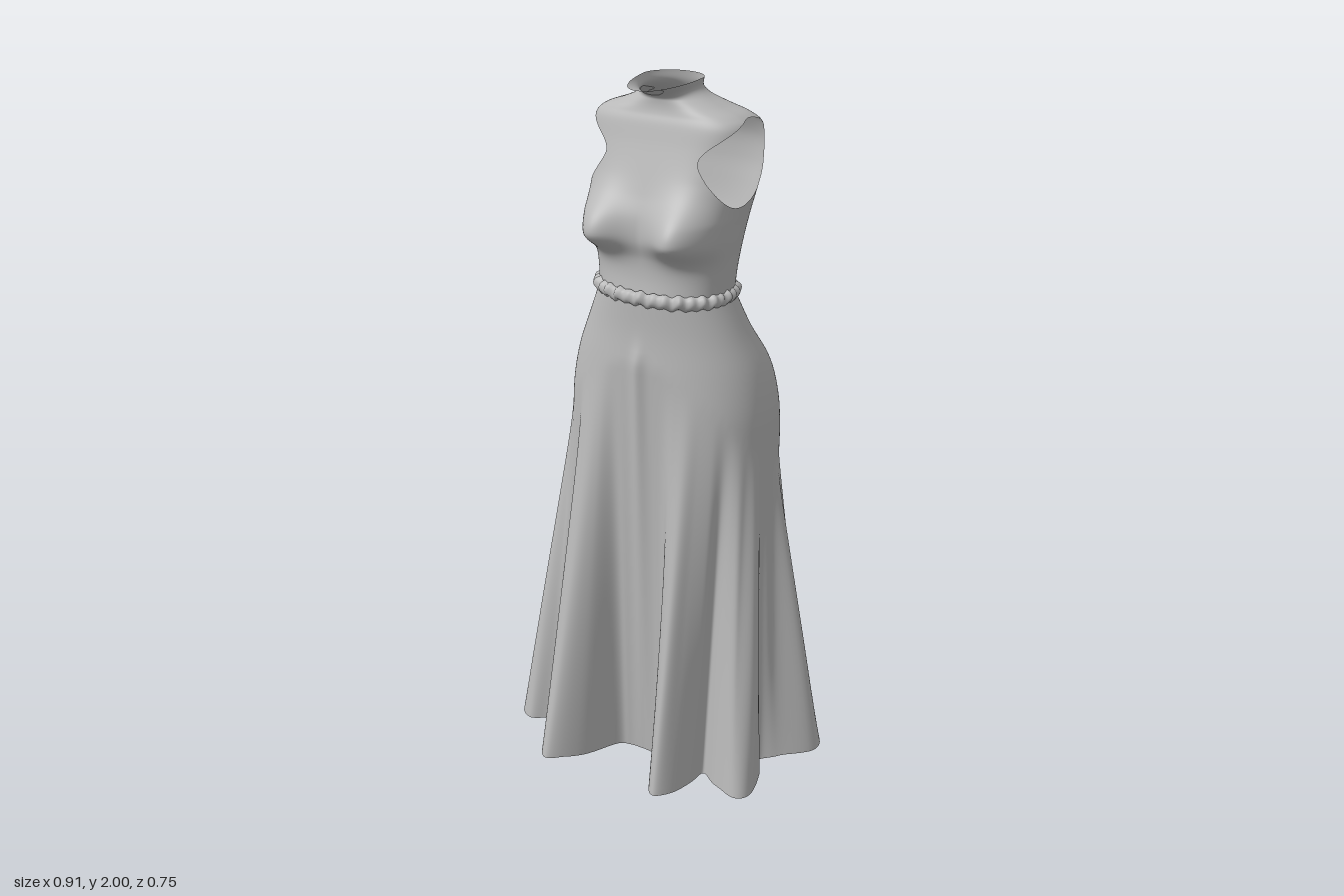
import * as THREE from 'three';
import { mergeVertices } from 'three/addons/utils/BufferGeometryUtils.js';

const fabric = new THREE.MeshStandardMaterial({ color: 0xb8b8b8, side: THREE.DoubleSide });
fabric.name = 'grey fabric';

const TAU = Math.PI * 2;
const gauss = (d, w) => Math.exp(-((d / w) ** 2));
const clamp01 = (v) => Math.min(1, Math.max(0, v));
const curve = (pts) => new THREE.CatmullRomCurve3(pts.map((p) => new THREE.Vector3(...p)), false, 'catmullrom', 0.5);

// Closed loft: fn(v, u) gives a point, v runs from top to bottom and u around the body
function loft(fn, rows, cols) {
  const pos = [], index = [];
  for (let i = 0; i <= rows; i++) {
    for (let j = 0; j < cols; j++) {
      pos.push(...fn(i / rows, j / cols));
      if (i === rows) continue;
      const k = (j + 1) % cols;
      const a = i * cols + j, b = i * cols + k, c = a + cols, d = b + cols;
      index.push(a, c, b, b, c, d);
    }
  }
  const g = new THREE.BufferGeometry();
  g.setAttribute('position', new THREE.Float32BufferAttribute(pos, 3));
  g.setIndex(index);
  g.computeVertexNormals();
  return g;
}

// Rounded-square section; angle 0 is the front, a quarter turn is the left side
function section(angle, halfWidth, front, back, n) {
  const s = Math.sin(angle), c = Math.cos(angle);
  const r = (Math.abs(s) ** n + Math.abs(c) ** n) ** (-1 / n);
  return [halfWidth * s * r, (front + back) / 2 + ((front - back) / 2) * c * r];
}

// Cuts away everything where f(point) < 0
function cut(geometry, f) {
  const src = geometry.toNonIndexed().getAttribute('position');
  const out = [];
  for (let i = 0; i < src.count; i += 3) {
    const tri = [0, 1, 2].map((k) => new THREE.Vector3().fromBufferAttribute(src, i + k));
    const poly = [];
    tri.forEach((p, k) => {
      const q = tri[(k + 1) % 3], fp = f(p), fq = f(q);
      if (fp >= 0) poly.push(p);
      if (fp >= 0 !== fq >= 0) {
        // interpolate in a fixed direction so that neighbours share the point
        poly.push(fp >= 0 ? p.clone().lerp(q, fp / (fp - fq)) : q.clone().lerp(p, fq / (fq - fp)));
      }
    });
    for (let k = 2; k < poly.length; k++) {
      for (const p of [poly[0], poly[k - 1], poly[k]]) out.push(p.x, p.y, p.z);
    }
  }
  let g = new THREE.BufferGeometry();
  g.setAttribute('position', new THREE.Float32BufferAttribute(out, 3));
  g = mergeVertices(g, 1e-5);
  g.computeVertexNormals();
  return g;
}

// Bodice sections from neck to waist: height, half width, front z, back z, squareness
const bodiceRows = [
  [2.0, 0.084, 0.07, -0.08, 2], [1.975, 0.08, 0.068, -0.085, 2], [1.955, 0.1, 0.066, -0.095, 2.2],
  [1.935, 0.145, 0.066, -0.108, 2.8], [1.915, 0.2, 0.07, -0.12, 3.4], [1.89, 0.228, 0.08, -0.135, 3.8],
  [1.84, 0.232, 0.095, -0.155, 3.8], [1.78, 0.23, 0.115, -0.157, 3.6], [1.72, 0.222, 0.135, -0.15, 3.2],
  [1.66, 0.213, 0.155, -0.14, 2.9], [1.6, 0.206, 0.16, -0.125, 2.7], [1.55, 0.2, 0.15, -0.115, 2.5],
  [1.5, 0.195, 0.15, -0.108, 2.4], [1.44, 0.19, 0.16, -0.112, 2.3],
];
const bodiceA = curve(bodiceRows.map((r) => [r[1], r[0], r[2]]));
const bodiceB = curve(bodiceRows.map((r) => [r[4], 0, r[3]]));

function bodicePoint(v, u) {
  const a = bodiceA.getPoint(v), b = bodiceB.getPoint(v), angle = u * TAU;
  let [x, z] = section(angle, a.x, a.z, b.z, b.x);
  let y = a.y;
  const front = Math.max(0, Math.cos(angle));
  // chest narrower than the shoulder blades
  x *= 1 - 0.9 * Math.max(0, z) * clamp01((y - 1.66) / 0.1) * clamp01((1.95 - y) / 0.05);
  // bust
  const bust = gauss(Math.abs(x) - 0.125, 0.072) * gauss(y - 1.615, y < 1.615 ? 0.05 : 0.09);
  z += 0.068 * bust * clamp01(front * 2.5);
  // collar turned forward
  const lip = clamp01((y - 1.95) / 0.05);
  z += 0.093 * lip ** 2 * front ** 1.1;
  y -= 0.012 * lip * front;
  return [x, y, z];
}

// Armhole outline in side elevation
function armhole(p) {
  if (Math.abs(p.x) < 0.12) return 1;
  const dy = p.y - 1.8, dz = p.z + 0.012 + 0.22 * dy;
  return (dz / 0.112) ** 2 + (dy / 0.11) ** 2 - 1;
}

// Waist to hip at even height steps: half width, front z, back z
const WAIST = 1.445;
const hipCurve = curve([
  [0.19, 0.163, -0.115], [0.235, 0.165, -0.145], [0.28, 0.175, -0.2],
  [0.303, 0.185, -0.222], [0.31, 0.19, -0.228], [0.312, 0.195, -0.222],
]);

function hipPoint(y, angle) {
  const p = hipCurve.getPoint(clamp01((WAIST - y) / 0.5));
  let [x, z] = section(angle, p.x, p.y, p.z, 2.25);
  const c = Math.cos(angle);
  if (c < 0) z += 0.02 * gauss(x, 0.045) * gauss(y - 1.12, 0.14); // seat crease
  else z += 0.014 * gauss(x, 0.02) * gauss(y - 1.25, 0.05); // front pucker
  return [x, z];
}

// Hem folds on the left half: angle in degrees, x, z
const hemLeft = [
  [0, 0, 0.15], [10, 0.05, 0.155], [17, 0.085, 0.18], [24, 0.115, 0.3], [31, 0.16, 0.355], [38, 0.2, 0.31],
  [44, 0.215, 0.23], [50, 0.22, 0.17], [57, 0.28, 0.21], [64, 0.36, 0.24], [70, 0.395, 0.2], [77, 0.37, 0.1],
  [84, 0.33, 0.04], [91, 0.37, 0], [99, 0.45, -0.08], [106, 0.44, -0.145], [113, 0.37, -0.175], [121, 0.28, -0.12],
  [129, 0.225, -0.13], [138, 0.215, -0.22], [149, 0.2, -0.34], [158, 0.15, -0.375], [168, 0.08, -0.34], [180, 0, -0.315],
];
// The right half has slightly wider front folds
const wider = [[0.13, 0.3], [0.2, 0.378], [0.245, 0.33], [0.235, 0.23], [0.25, 0.18], [0.32, 0.215], [0.37, 0.24], [0.415, 0.2]];
const hemRight = hemLeft.slice(0, -1).map(([a, x, z], i) => {
  const w = wider[i - 3];
  return [360 - a, w ? -w[0] : -x, w ? w[1] : z];
}).reverse();
const hemCurve = curve([...hemLeft, ...hemRight].map(([a, x, z]) => [x, (a * Math.PI) / 180, z]));

function skirtPoint(v, u) {
  const hem = hemCurve.getPoint(u), angle = hem.y;
  const hemY = Math.max(0, 0.036 * Math.min(1, (hem.x ** 2 + hem.z ** 2) / 0.15) - 0.006);
  const y = WAIST + (hemY - WAIST) * v;
  const front = Math.max(0, Math.cos(angle));
  const foldTop = 0.97 + 0.3 * front ** 1.5;
  let [x, z] = hipPoint(Math.max(y, foldTop), angle);
  if (y < foldTop) {
    const t = (foldTop - y) / (foldTop - hemY), w = t ** 1.08;
    // fine gathers between the big folds
    const gather = 1 + 0.022 * Math.sin(angle * 26) * 4 * t * (1 - t) * Math.abs(Math.sin(angle));
    x = (x + (hem.x - x) * w) * gather;
    z = (z + (hem.z - z) * w) * gather;
  }
  return [x, y, z];
}

// Gathered frill around the waist: outward offset and height
const frillRows = curve([[-0.006, 1.466, 0], [0.005, 1.46, 0], [0.01, 1.448, 0], [0.007, 1.436, 0], [-0.002, 1.428, 0]]);
function frillPoint(v, u) {
  const p = frillRows.getPoint(v), a = u * TAU;
  const wave = 0.0035 * (Math.sin(a * 34) + 0.6 * Math.sin(a * 21 + 1));
  const out = p.x + wave * Math.sin(Math.PI * v);
  const [x, z] = section(a, 0.194 + out, 0.166 + out, -0.117 - out, 2.3);
  return [x, p.y + wave * 0.8, z];
}

export function createModel() {
  const dress = new THREE.Group();
  dress.name = 'dress';
  const add = (name, geometry) => {
    const mesh = new THREE.Mesh(geometry, fabric);
    mesh.name = name;
    dress.add(mesh);
  };
  add('bodice', cut(loft(bodicePoint, 104, 160), armhole));
  add('waistFrill', loft(frillPoint, 8, 240));
  add('skirt', loft(skirtPoint, 70, 368));
  return dress;
}
